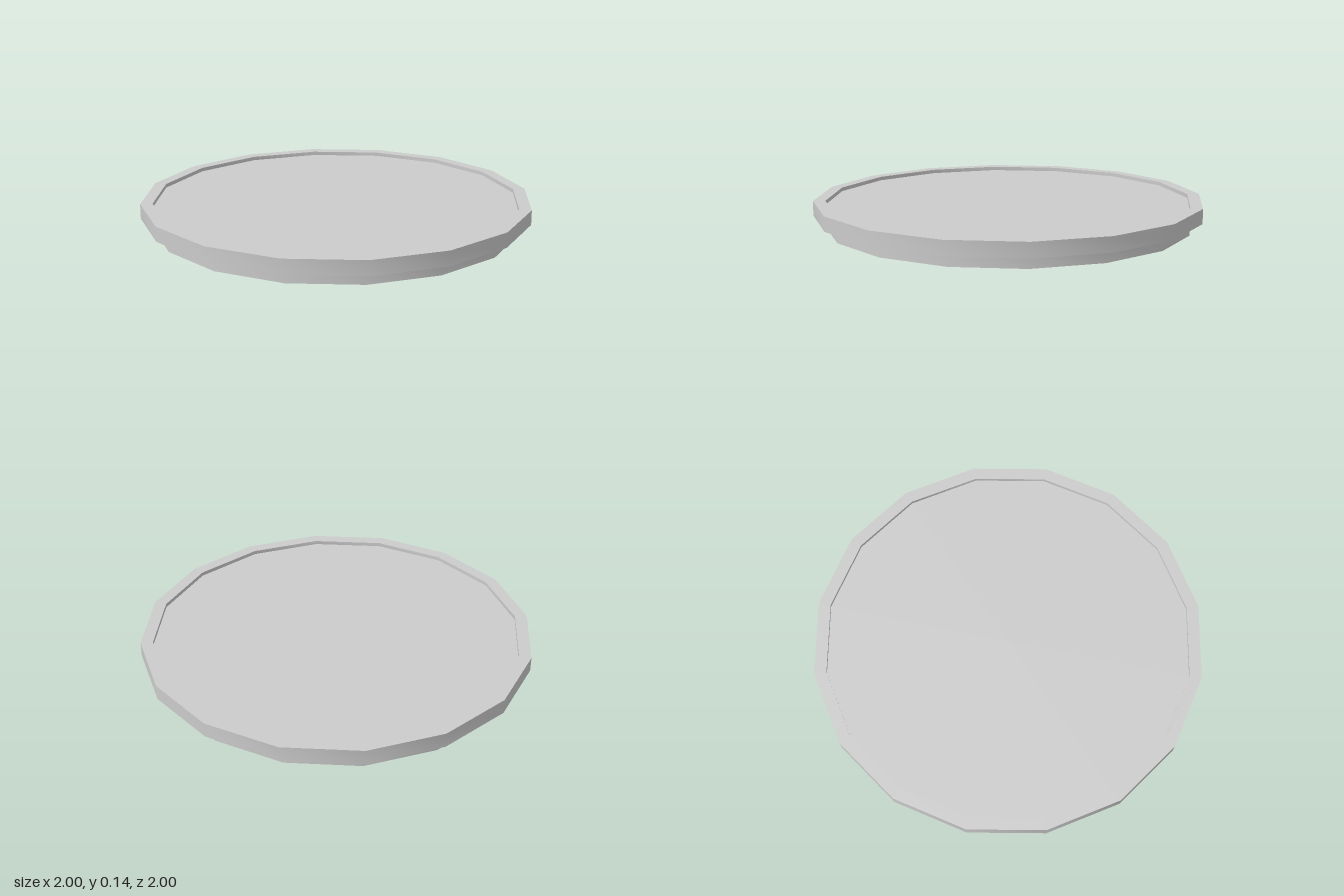
import * as THREE from 'three';
import { toCreasedNormals } from 'three/addons/utils/BufferGeometryUtils.js';

const SIDES = 16;
const TURN = THREE.MathUtils.degToRad(9.1); // first corner, measured from +x towards +z
const OUTER = 1.013, INNER = 0.95;
const TOP = 0.14, STEP = 0.063, PANEL = 0.12;

export function createModel() {
  const group = new THREE.Group();
  group.name = 'shallowLid';
  const material = new THREE.MeshStandardMaterial({ color: 0xcccccc, side: THREE.DoubleSide });

  // Thin stepped shell: lower skirt, ledge, outer band, top rim, recess wall
  const profile = [
    [INNER, 0], [INNER, STEP], [OUTER, STEP], [OUTER, TOP], [INNER, TOP], [INNER, PANEL],
  ].map(([r, y]) => new THREE.Vector2(r, y));
  const shell = new THREE.LatheGeometry(profile, SIDES, Math.PI / 2 - TURN);
  const rim = new THREE.Mesh(toCreasedNormals(shell, 0.6), material);
  rim.name = 'steppedRim';
  group.add(rim);

  // Recessed flat panel; the underside stays open
  const disc = new THREE.CircleGeometry(INNER, SIDES).rotateX(-Math.PI / 2).rotateY(-TURN);
  const panel = new THREE.Mesh(disc, material);
  panel.name = 'recessedPanel';
  panel.position.y = PANEL;
  group.add(panel);

  return group;
}
